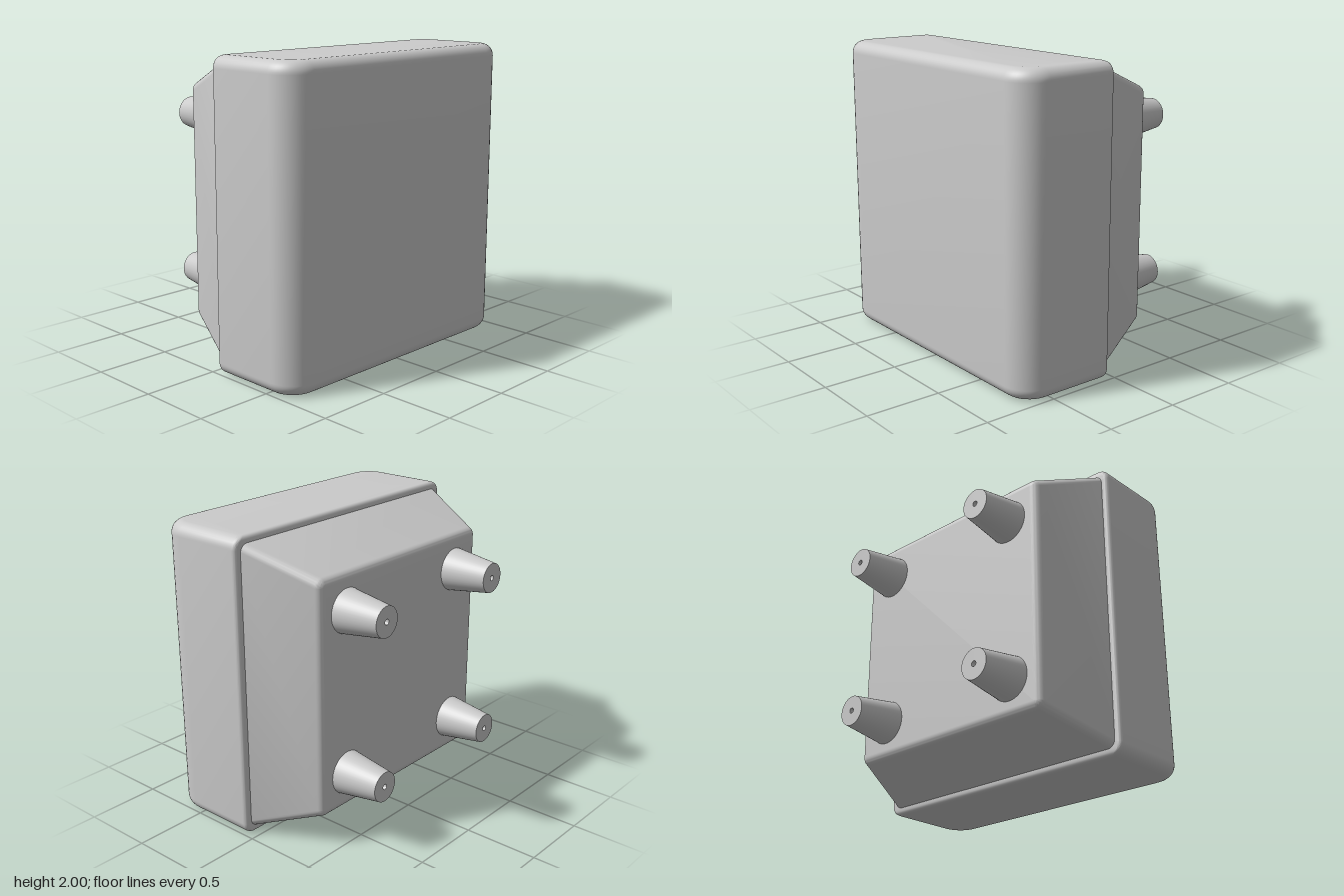
import * as THREE from 'three';
import { toCreasedNormals } from 'three/addons/utils/BufferGeometryUtils.js';

const grey = new THREE.MeshStandardMaterial({ color: 0xcccccc });

// Counter-clockwise outline of a rectangle with its own radius per corner pair
function outline(x, vLow, vHigh, rLow, rHigh) {
  const n = 10, points = [];
  const corners = [
    [x - rLow, vLow + rLow, rLow, -0.5],
    [x - rHigh, vHigh - rHigh, rHigh, 0],
    [-x + rHigh, vHigh - rHigh, rHigh, 0.5],
    [-x + rLow, vLow + rLow, rLow, 1],
  ];
  for (const [cx, cy, r, start] of corners) {
    for (let i = 0; i <= n; i++) {
      const a = (start + 0.5 * i / n) * Math.PI;
      points.push([cx + r * Math.cos(a), cy + r * Math.sin(a)]);
    }
  }
  return points;
}

// Skin between outlines stacked along +z, closed at both ends
function loft(rings) {
  const pos = [], index = [], n = rings[0].points.length;
  for (const { points, z } of rings) for (const [x, y] of points) pos.push(x, y, z);
  for (let k = 0; k < rings.length - 1; k++) {
    for (let i = 0; i < n; i++) {
      const j = (i + 1) % n, a = k * n, b = a + n;
      index.push(a + i, a + j, b + j, a + i, b + j, b + i);
    }
  }
  const last = (rings.length - 1) * n;
  for (let i = 1; i < n - 1; i++) {
    index.push(0, i + 1, i, last, last + i, last + i + 1);
  }
  const geo = new THREE.BufferGeometry();
  geo.setAttribute('position', new THREE.Float32BufferAttribute(pos, 3));
  geo.setIndex(index);
  return geo;
}

function addMesh(parent, name, geo) {
  const mesh = new THREE.Mesh(toCreasedNormals(geo, 0.6), grey);
  mesh.name = name;
  parent.add(mesh);
  return mesh;
}

// Front block: wide rounding on the front uprights, small fillets elsewhere
function frontBlock() {
  const fillet = 0.08, rim = 0.03, steps = 10, half = [];
  for (let i = 0; i <= steps; i++) {
    const a = (i / steps) * Math.PI / 2;
    const rise = fillet * (1 - Math.cos(a));
    const inset = fillet * (1 - Math.sin(a));
    const t = Math.max(0, rim - rise);
    const back = rim - Math.sqrt(rim * rim - t * t);
    half.push({ z: rise, points: outline(1 - inset, -0.73 + inset, -0.05 - back, 0.19 - inset, rim) });
  }
  const upper = half.map(({ z, points }) => ({ z: 2 - z, points })).reverse();
  return loft([...half, ...upper]).rotateX(-Math.PI / 2);
}

// Tapered back housing with a rounded rear edge
function backHousing() {
  const r = 0.06, core = 0.735, slope = 0.358, steps = 8;
  const square = (s, c) => outline(s, -s, s, c, c);
  const rings = [{ z: -0.06, points: square(0.957, r * Math.cos(slope)) }];
  for (let i = 0; i <= steps; i++) {
    const a = slope + (i / steps) * (Math.PI / 2 - slope);
    const c = r * Math.cos(a);
    rings.push({ z: 0.365 + r * Math.sin(a), points: square(core + c, Math.max(c, 0.002)) });
  }
  return loft(rings).rotateY(Math.PI);
}

// Tapered peg with a small blind hole in its end
function pegGeometry() {
  const profile = [[0.146, -0.01], [0.1, 0.308], [0.018, 0.308], [0.018, 0.16], [0, 0.16]];
  return new THREE.LatheGeometry(profile.map(p => new THREE.Vector2(...p)), 40).rotateX(-Math.PI / 2);
}

export function createModel() {
  const model = new THREE.Group();
  model.name = 'wallBlock';
  addMesh(model, 'frontBlock', frontBlock());
  addMesh(model, 'backHousing', backHousing()).position.y = 1;

  const pegs = new THREE.Group();
  pegs.name = 'pegs';
  model.add(pegs);
  for (const sy of [1, -1]) {
    for (const sx of [1, -1]) {
      const name = (sy > 0 ? 'upper' : 'lower') + (sx > 0 ? 'Left' : 'Right') + 'Peg';
      addMesh(pegs, name, pegGeometry()).position.set(0.545 * sx, 1 + 0.545 * sy, -0.422);
    }
  }
  return model;
}
